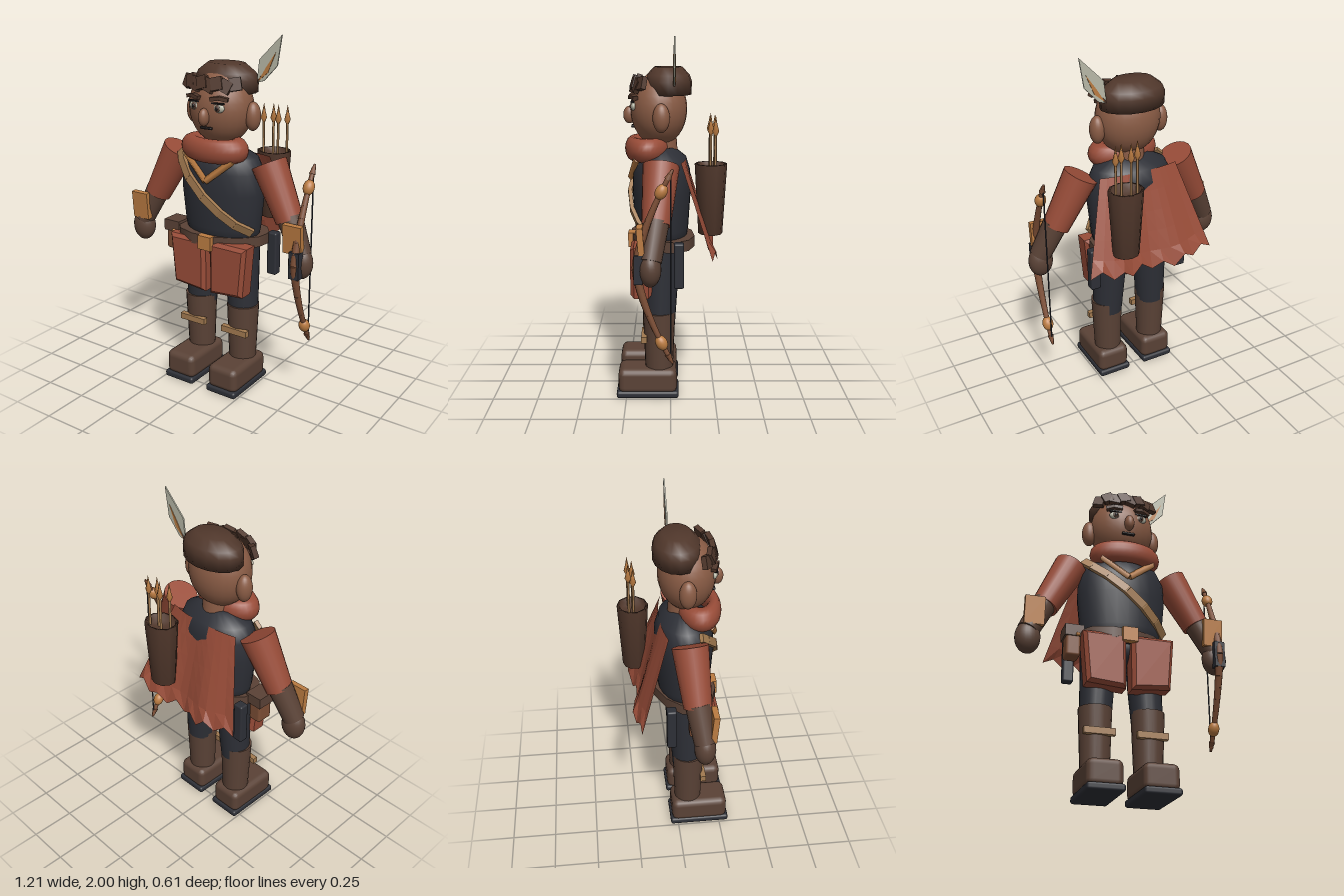
import * as THREE from 'three';
import { RoundedBoxGeometry } from 'three/addons/geometries/RoundedBoxGeometry.js';

const mat = (name, color, extra = {}) => new THREE.MeshStandardMaterial({ name, color, ...extra });
const V = (x, y, z) => new THREE.Vector3(x, y, z);

export function createModel() {
  const M = {
    skin: mat('skin', 0x8a5c45), hair: mat('hair', 0x50372b), leather: mat('leather', 0x5a4236),
    cloth: mat('dark cloth', 0x2d2f36), rust: mat('rust cloth', 0x984c38, { side: THREE.DoubleSide }),
    brass: mat('brass', 0xbb7c42), strap: mat('strap tan', 0xa27a50), wood: mat('wood', 0x7c4e35),
    cream: mat('cream', 0xb9b9a8, { side: THREE.DoubleSide }), black: mat('black', 0x1b1718),
  };
  const root = new THREE.Group();
  root.name = 'archer';

  // helpers
  const add = (name, geo, m, pos = [0, 0, 0], rot = [0, 0, 0], scale = [1, 1, 1]) => {
    const mesh = new THREE.Mesh(geo, m);
    mesh.name = name;
    mesh.position.set(...pos);
    mesh.rotation.set(...rot);
    mesh.scale.set(...scale);
    root.add(mesh);
    return mesh;
  };
  const ball = (name, m, pos, r, rot) => add(name, new THREE.SphereGeometry(1, 24, 16), m, pos, rot, r);
  const box = (name, m, pos, s, rot) => add(name, new THREE.BoxGeometry(...s), m, pos, rot);
  const soft = (name, m, pos, s, r, rot) => add(name, new RoundedBoxGeometry(...s, 2, r), m, pos, rot);
  const limb = (name, m, a, b, ra, rb, sides = 20) => {
    const d = b.clone().sub(a);
    const mesh = add(name, new THREE.CylinderGeometry(rb, ra, d.length(), sides), m);
    mesh.position.copy(a).add(b).multiplyScalar(0.5);
    mesh.quaternion.setFromUnitVectors(V(0, 1, 0), d.normalize());
    return mesh;
  };
  const lathe = (name, m, pts, pos, scale, sides = 24) =>
    add(name, new THREE.LatheGeometry(pts.map((p) => new THREE.Vector2(...p)), sides), m, pos, [0, 0, 0], scale);
  const flat = (name, m, pts, depth, pos) => {
    const geo = new THREE.ExtrudeGeometry(new THREE.Shape(pts.map((p) => new THREE.Vector2(...p))), { depth, bevelEnabled: false });
    return add(name, geo, m, pos);
  };

  // torso, pelvis, neck and scarf
  lathe('torso', M.cloth, [[0, 0.84], [0.21, 0.84], [0.235, 0.95], [0.255, 1.15], [0.25, 1.27], [0.215, 1.345], [0.11, 1.4], [0, 1.4]],
    [0, 0, 0.05], [1, 1, 0.64]);
  ball('pelvis', M.cloth, [0, 0.83, 0.05], [0.22, 0.11, 0.125]);
  limb('neck', M.skin, V(0, 1.36, 0.04), V(0, 1.5, 0.05), 0.08, 0.08);
  add('scarf', new THREE.TorusGeometry(0.14, 0.066, 14, 32), M.rust, [0, 1.395, 0.13], [Math.PI / 2, 0, 0], [1, 0.6, 1]);

  // head and face
  ball('head', M.skin, [0, 1.61, 0.065], [0.185, 0.205, 0.157]);
  ball('nose', M.skin, [0, 1.578, 0.228], [0.028, 0.048, 0.034]);
  soft('mouth', M.black, [0, 1.517, 0.207], [0.075, 0.014, 0.02], 0.006);
  for (const s of [1, -1]) {
    ball('ear', M.skin, [s * 0.192, 1.575, 0.05], [0.042, 0.078, 0.046]);
    ball('eye', M.cream, [s * 0.075, 1.63, 0.2], [0.036, 0.025, 0.016]);
    ball('iris', M.leather, [s * 0.075, 1.63, 0.212], [0.017, 0.019, 0.008]);
    ball('pupil', M.black, [s * 0.075, 1.63, 0.217], [0.009, 0.011, 0.006]);
    box('eyelid', M.black, [s * 0.075, 1.655, 0.206], [0.07, 0.008, 0.02]);
    box('brow', M.hair, [s * 0.06, 1.68, 0.212], [0.05, 0.02, 0.03], [0, s * 0.2, s * 0.18]);
    box('browEnd', M.hair, [s * 0.104, 1.68, 0.198], [0.05, 0.02, 0.03], [0, s * 0.4, -s * 0.2]);
  }

  // hair cap and jagged fringe
  lathe('hairCap', M.hair, [[0, 1.69], [0.183, 1.69], [0.186, 1.76], [0.17, 1.795], [0.11, 1.84], [0, 1.843]],
    [0, 0, 0.013], [1, 1, 0.7], 16);
  for (let i = 0; i < 8; i++) {
    const x = -0.158 + i * 0.044;
    const z = 0.075 + 0.128 * Math.sqrt(1 - (x / 0.19) ** 2);
    box('fringe', M.hair, [x, 1.743 + (i % 2) * 0.012, z], [0.062, 0.068, 0.028], [-0.3, x * 3, i % 2 ? 0.3 : -0.35]);
  }

  // feather
  flat('feather', M.cream, [[0.17, 1.74], [0.215, 1.755], [0.295, 1.84], [0.32, 2], [0.185, 1.865]], 0.008, [0, 0, -0.024]);
  flat('featherStripe', M.brass, [[0.18, 1.75], [0.24, 1.8], [0.287, 1.91], [0.23, 1.83]], 0.014, [0, 0, -0.027]);
  limb('featherQuill', M.hair, V(0.16, 1.73, -0.02), V(0.21, 1.79, -0.02), 0.008, 0.005, 8);

  // collar trim and chest strap
  for (const s of [1, -1]) {
    const trim = limb('collarTrim', M.brass, V(0, 1.228, 0.222), V(s * 0.15, 1.35, 0.185), 0.02, 0.02, 4);
    trim.scale.z = 0.9;
  }
  const strapPath = new THREE.CatmullRomCurve3([V(-0.235, 1.34, 0.12), V(-0.19, 1.29, 0.165), V(-0.08, 1.195, 0.222), V(0.05, 1.09, 0.222), V(0.15, 1.005, 0.185), V(0.225, 0.945, 0.11)]);
  const strapPts = strapPath.getPoints(6);
  for (let i = 0; i < 6; i++) {
    const a = strapPts[i], d = strapPts[i + 1].clone().sub(a);
    const piece = add('chestStrap', new THREE.BoxGeometry(0.048, d.length() + 0.012, 0.022), M.strap);
    const y = d.clone().normalize(), x = V(0, 0, 1).cross(y).normalize().negate();
    piece.quaternion.setFromRotationMatrix(new THREE.Matrix4().makeBasis(x, y, x.clone().cross(y)));
    piece.position.copy(a).addScaledVector(d, 0.5);
  }

  // belt, buckle, pouch and holsters
  add('belt', new THREE.CylinderGeometry(0.27, 0.27, 0.06, 12), M.leather, [0, 0.882, 0.045], [0, Math.PI / 12, 0], [1, 1, 0.64]);
  box('buckle', M.brass, [0, 0.874, 0.22], [0.085, 0.08, 0.04]);
  soft('pouch', M.wood, [-0.292, 0.815, 0.1], [0.08, 0.13, 0.1], 0.015);
  box('pouchFlap', M.leather, [-0.288, 0.895, 0.1], [0.105, 0.065, 0.115]);
  ball('pouchStud', M.brass, [-0.27, 0.87, 0.16], [0.012, 0.012, 0.012]);
  for (const s of [1, -1]) soft('holster', M.cloth, [s * 0.278, 0.79, -0.045], [0.06, 0.25, 0.055], 0.01);

  for (const s of [1, -1]) {
    // tunic skirt panel
    const panel = new THREE.Shape([[0.035, 0.86], [0.235, 0.86], [0.212, 0.605], [0.035, 0.59]].map((p) => new THREE.Vector2(s * p[0], p[1])));
    add('skirtPanel', new THREE.ExtrudeGeometry(panel, { depth: 0.08, bevelSize: 0.02, bevelThickness: 0.02, bevelSegments: 1 }), M.rust, [0, 0, 0.122]);

    // leg and boot
    limb('leg', M.cloth, V(s * 0.145, 0.42, 0.06), V(s * 0.125, 0.86, 0.05), 0.085, 0.105);
    limb('bootShaft', M.leather, V(s * 0.145, 0.1, 0.065), V(s * 0.147, 0.49, 0.065), 0.076, 0.092);
    box('bootStrap', M.strap, [s * 0.145, 0.343, 0.148], [0.17, 0.036, 0.032]);
    soft('boot', M.leather, [s * 0.147, 0.095, 0.13], [0.192, 0.145, 0.33], 0.036);
    soft('sole', M.cloth, [s * 0.147, 0.02, 0.13], [0.198, 0.04, 0.35], 0.014);

    // arm
    limb('sleeve', M.rust, V(s * 0.445, 1.05, 0.075), V(s * 0.297, 1.335, 0.05), 0.076, 0.098);
    limb('forearm', M.leather, V(s * 0.535, 0.88, 0.105), V(s * 0.445, 1.07, 0.075), 0.06, 0.07);
    ball('hand', M.leather, [s * 0.535, 0.84, 0.105], [0.07, 0.092, 0.058]);
    box('bracer', M.brass, [s * 0.512, 0.98, 0.152], [0.11, 0.16, 0.032], [0.08, 0, 0]);
  }

  // cape with a ragged hem
  const nu = 12, nv = 5;
  const cape = new THREE.PlaneGeometry(1, 1, nu, nv);
  const p = cape.attributes.position;
  for (let i = 0; i < p.count; i++) {
    const u = p.getX(i) * 2, v = 0.5 - p.getY(i), col = i % (nu + 1);
    const hem = v > 0.99 ? [0, 0.045, 0.01, 0.055][col % 4] : 0;
    p.setXYZ(i, u * (0.235 + 0.15 * v), 1.34 - (0.55 - 0.05 * u * u) * v + hem,
      -0.085 - 0.15 * v - 0.02 * v * Math.cos(u * 6 + 2.6) + 0.03 * (1 - v) * u * u);
  }
  const capeFlat = cape.toNonIndexed();
  capeFlat.computeVertexNormals();
  add('cape', capeFlat, M.rust);

  // quiver and arrows
  lathe('quiver', M.hair, [[0, 0.945], [0.075, 0.945], [0.1, 1.33], [0.085, 1.33], [0.08, 1.29], [0, 1.29]], [0.165, 0, -0.218], [1, 1, 0.88], 10);
  [[0.095, -0.215], [0.145, -0.238], [0.19, -0.215], [0.235, -0.238]].forEach(([x, z]) => {
    limb('arrowShaft', M.strap, V(x, 1.2, z), V(x, 1.56, z), 0.007, 0.007, 6);
    lathe('arrowHead', M.brass, [[0, 1.47], [0.018, 1.51], [0.008, 1.55], [0, 1.595]], [x, 0, z], [1, 1, 1], 6);
  });

  // bow held in the left hand
  const bowAt = (t) => V(0.538, 0.845 + t * 0.49, 0.175 * (1 - Math.abs(t) ** 1.5));
  for (let i = 0; i < 16; i++) {
    const a = -1 + i / 8, b = a + 1 / 8, r = (t) => 0.024 - 0.012 * Math.abs(t);
    limb('bowLimb', M.wood, bowAt(a), bowAt(b), r(a), r(b), 10);
  }
  for (const s of [1, -1]) {
    ball('bowKnot', M.brass, bowAt(s * 0.81), [0.031, 0.042, 0.031], [-s * 0.45, 0, 0]);
    limb('bowTip', M.wood, bowAt(s * 0.94), bowAt(s * 1.04), 0.018, 0.006, 8);
  }
  limb('bowString', M.cloth, bowAt(-1), bowAt(1), 0.004, 0.004, 6);
  box('bowGrip', M.cloth, [0.538, 0.845, 0.165], [0.06, 0.15, 0.045]);

  return root;
}
